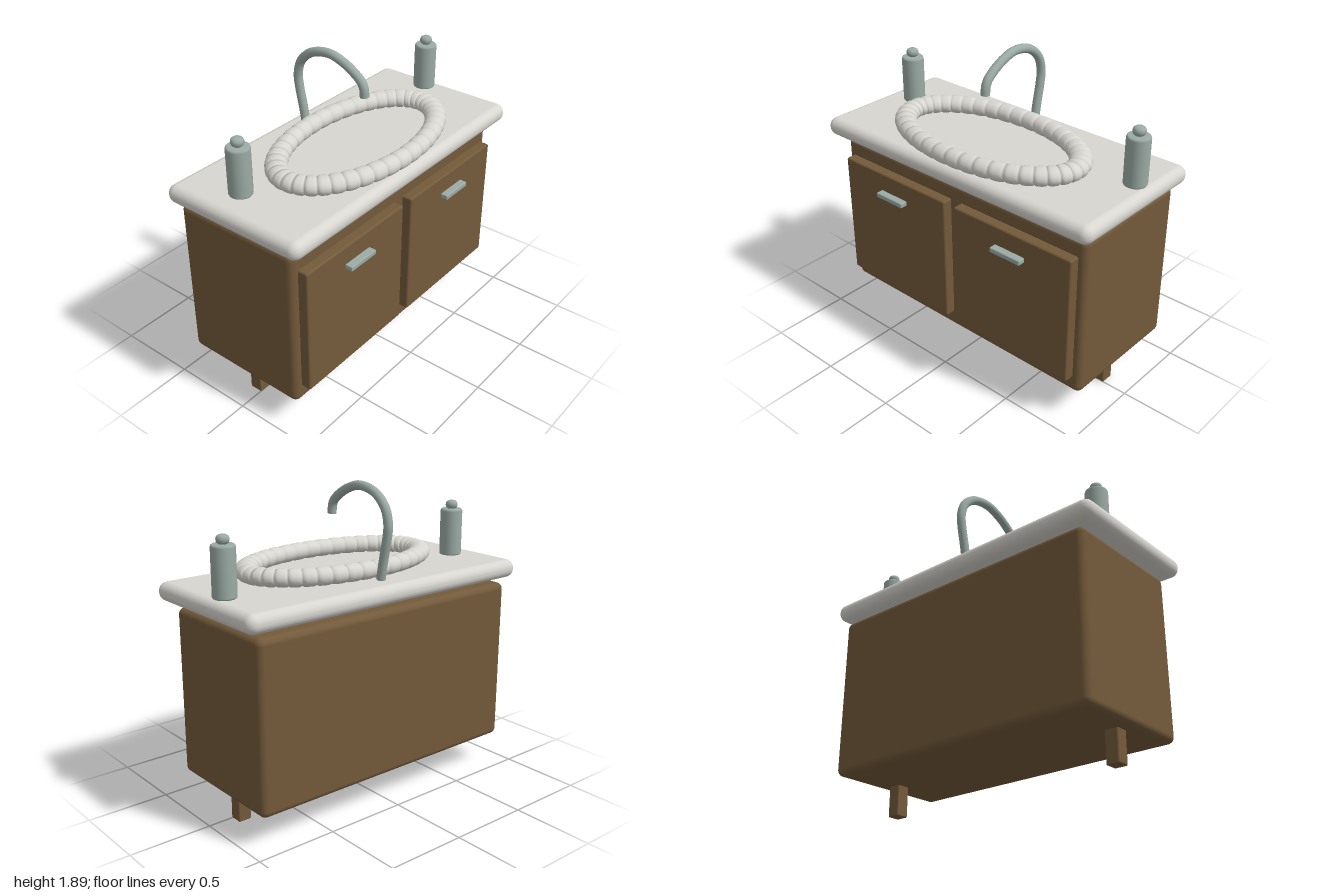
import * as THREE from 'three';
import { RoundedBoxGeometry } from 'three/addons/geometries/RoundedBoxGeometry.js';
import { ParametricGeometry } from 'three/addons/geometries/ParametricGeometry.js';

export function createModel() {
  const group = new THREE.Group();
  const material = (name, color) => {
    const m = new THREE.MeshStandardMaterial({ color });
    m.name = name;
    return m;
  };
  const wood = material('brown wood', 0x735a3b);
  const stone = material('pale stone', 0xd8d6d0);
  const metal = material('grey metal', 0x9babA6);

  const add = (name, geometry, mat, x = 0, y = 0, z = 0) => {
    const mesh = new THREE.Mesh(geometry, mat);
    mesh.name = name;
    mesh.position.set(x, y, z);
    group.add(mesh);
    return mesh;
  };
  // Rounded box given by its lower and upper corners
  const box = (name, mat, [x0, y0, z0], [x1, y1, z1], radius) =>
    add(name, new RoundedBoxGeometry(x1 - x0, y1 - y0, z1 - z0, 4, radius), mat,
      (x0 + x1) / 2, (y0 + y1) / 2, (z0 + z1) / 2);

  // Cabinet and countertop
  box('cabinet', wood, [-0.93, 0.19, -0.445], [0.93, 1.205, 0.37], 0.04);
  box('countertop', stone, [-1, 1.235, -0.475], [1, 1.348, 0.468], 0.054);

  // Doors, handles and legs
  for (const side of [-1, 1]) {
    const cx = side * 0.459;
    box('door', wood, [cx - 0.421, 0.295, 0.36], [cx + 0.421, 1.1, 0.432], 0.012);
    box('handle', metal, [cx - 0.107, 0.955, 0.425], [cx + 0.107, 0.986, 0.477], 0.006);
    const lx = side * 0.805;
    box('leg', wood, [lx - 0.041, 0, -0.077], [lx + 0.041, 0.21, 0.005], 0.008);
  }

  // Beaded oval basin rim: elliptical sweep whose section swells once per bead
  const beads = 40;
  const rim = new ParametricGeometry((u, v, target) => {
    const a = u * Math.PI * 2, b = -v * Math.PI * 2;
    const s = 2 * (((u * beads) % 1 + 1) % 1) - 1;
    const swell = 1 - 0.13 * s ** 4;
    const c = Math.cos(a), d = Math.sin(a);
    const half = (0.058 + 0.011 * c * c) * swell;
    const normal = new THREE.Vector2(c * 0.325, d * 0.61).normalize();
    const out = half * Math.cos(b);
    target.set(0.61 * c + normal.x * out, 0.053 * swell * Math.sin(b), 0.325 * d + normal.y * out);
  }, beads * 8, 20);
  stone.side = THREE.DoubleSide;
  add('basinRim', rim, stone, 0, 1.397, 0.077);

  // Arched faucet in the x = 0 plane, as [z, y] points
  const path = new THREE.CatmullRomCurve3([
    [-0.325, 1.35], [-0.346, 1.47], [-0.371, 1.59], [-0.379, 1.67], [-0.353, 1.76], [-0.27, 1.835],
    [-0.14, 1.863], [-0.045, 1.84], [0.03, 1.802], [0.09, 1.755], [0.108, 1.72], [0.113, 1.67],
  ].map(([z, y]) => new THREE.Vector3(0, y, z)));
  add('faucet', new THREE.TubeGeometry(path, 64, 0.027, 16, false), metal);
  for (const t of [0, 1]) {
    const cap = add('faucetEnd', new THREE.CircleGeometry(0.027, 16), metal);
    cap.position.copy(path.getPointAt(t));
    const dir = path.getTangentAt(t).multiplyScalar(t ? 1 : -1);
    cap.quaternion.setFromUnitVectors(new THREE.Vector3(0, 0, 1), dir);
  }

  // Soap dispensers: bevelled bottle and rounded knob
  const bottle = [[0, 0], [0.06, 0], [0.065, 0.003], [0.068, 0.01], [0.068, 0.278], [0.065, 0.287],
    [0.058, 0.292], [0, 0.292]];
  const knob = [[0, 0], [0.022, 0], [0.032, 0.008], [0.037, 0.02], [0.037, 0.032], [0.032, 0.043],
    [0.022, 0.05], [0, 0.05]];
  const lathe = (pts) => new THREE.LatheGeometry(pts.map(([r, y]) => new THREE.Vector2(r, y)), 32);
  for (const x of [-0.8, 0.895]) {
    add('dispenserBottle', lathe(bottle), metal, x, 1.347, -0.092);
    add('dispenserKnob', lathe(knob), metal, x, 1.638, -0.092);
  }

  return group;
}
